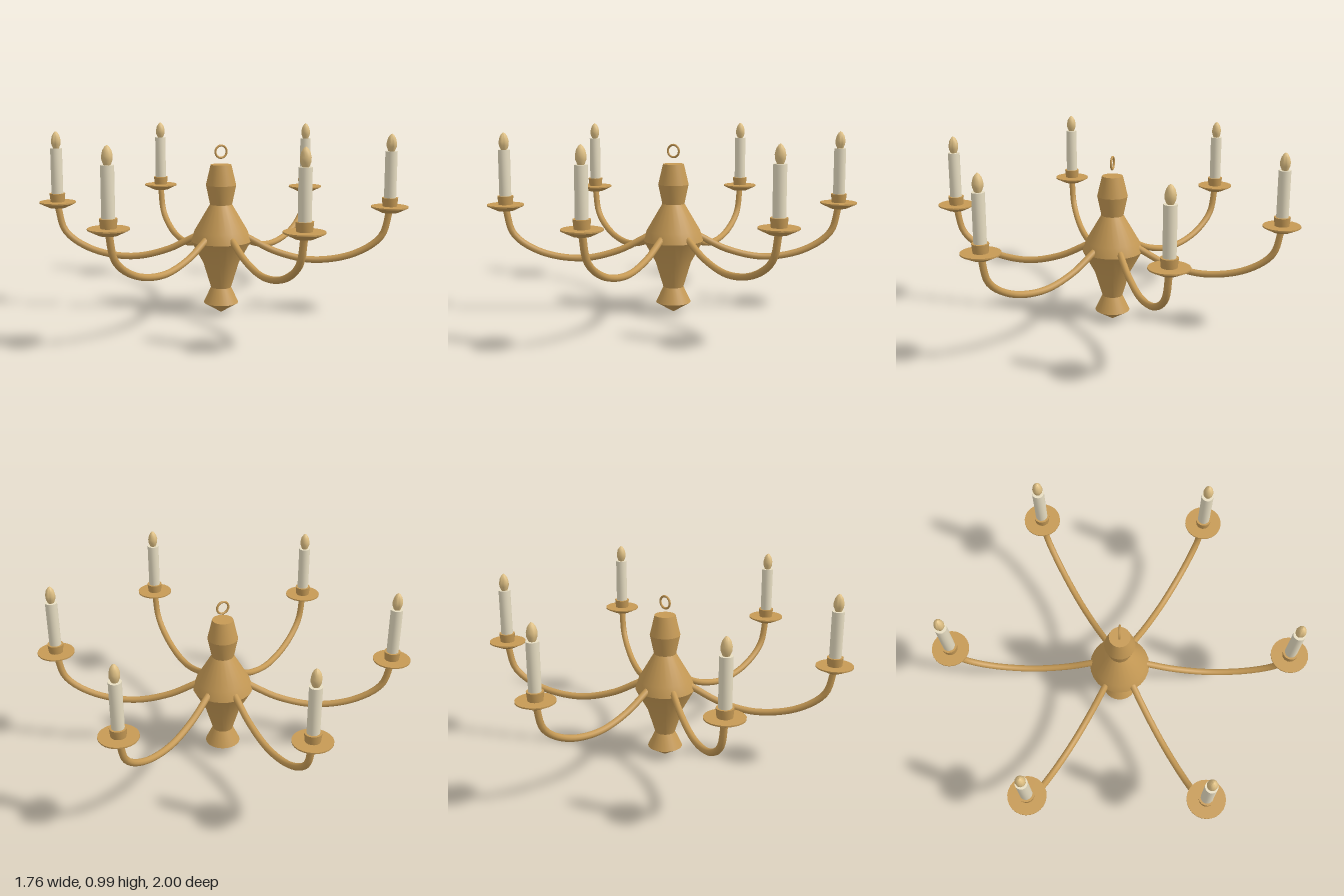
import * as THREE from 'three';
import { toCreasedNormals } from 'three/addons/utils/BufferGeometryUtils.js';

const brass = new THREE.MeshStandardMaterial({ name: 'brass', color: 0xc69a55 });
const ivory = new THREE.MeshStandardMaterial({ name: 'ivory', color: 0xeee4c8 });
const amber = new THREE.MeshStandardMaterial({ name: 'amberGlass', color: 0xdfc084 });

// Turned part from [radius, height] pairs listed bottom to top
function turned(name, profile, segments, material, crease = 0.35) {
  const points = profile.map(([r, y]) => new THREE.Vector2(r, y));
  const geometry = toCreasedNormals(new THREE.LatheGeometry(points, segments), crease);
  const mesh = new THREE.Mesh(geometry, material);
  mesh.name = name;
  return mesh;
}

// One arm reaching out along +z, with its drip pan, cup, candle and bulb
function createArm() {
  const arm = new THREE.Group();
  arm.name = 'arm';

  const path = new THREE.CatmullRomCurve3(
    [[0.1, 0.445], [0.16, 0.413], [0.3, 0.345], [0.5, 0.304], [0.72, 0.343], [0.86, 0.44], [0.9, 0.58]]
      .map(([r, y]) => new THREE.Vector3(0, y, r)));
  const tube = new THREE.Mesh(new THREE.TubeGeometry(path, 32, 0.018, 10), brass);
  tube.name = 'curvedArm';
  arm.add(tube);

  const holder = new THREE.Group();
  holder.name = 'candleHolder';
  holder.position.z = 0.9;
  holder.add(
    turned('dripPan', [[0, 0.567], [0.045, 0.569], [0.099, 0.595], [0.099, 0.602], [0, 0.602]], 24, brass),
    turned('candleCup', [[0.038, 0.6], [0.043, 0.648], [0, 0.648]], 16, brass, 0.5),
    turned('candle', [[0.032, 0.64], [0.032, 0.895], [0, 0.895]], 16, ivory, 0.5),
    turned('bulb', [[0.016, 0.893], [0.026, 0.918], [0.027, 0.938], [0.021, 0.963], [0.01, 0.98], [0, 0.987]], 10, amber, 0.8),
  );
  arm.add(holder);
  return arm;
}

export function createModel() {
  const model = new THREE.Group();
  model.name = 'chandelier';

  // Central turned column with pointed finial
  model.add(turned('column', [
    [0, 0], [0.095, 0.057], [0.055, 0.142], [0.097, 0.28], [0.163, 0.4],
    [0.145, 0.455], [0.06, 0.6], [0.082, 0.705], [0.056, 0.815], [0, 0.815],
  ], 24, brass));

  // Hanging ring
  const ring = new THREE.Mesh(new THREE.TorusGeometry(0.033, 0.006, 8, 24), brass);
  ring.name = 'hangingRing';
  ring.position.y = 0.884;
  model.add(ring);

  // Six arms evenly spaced
  for (let i = 0; i < 6; i++) {
    const arm = createArm();
    arm.rotation.y = (i * Math.PI) / 3;
    model.add(arm);
  }
  return model;
}
